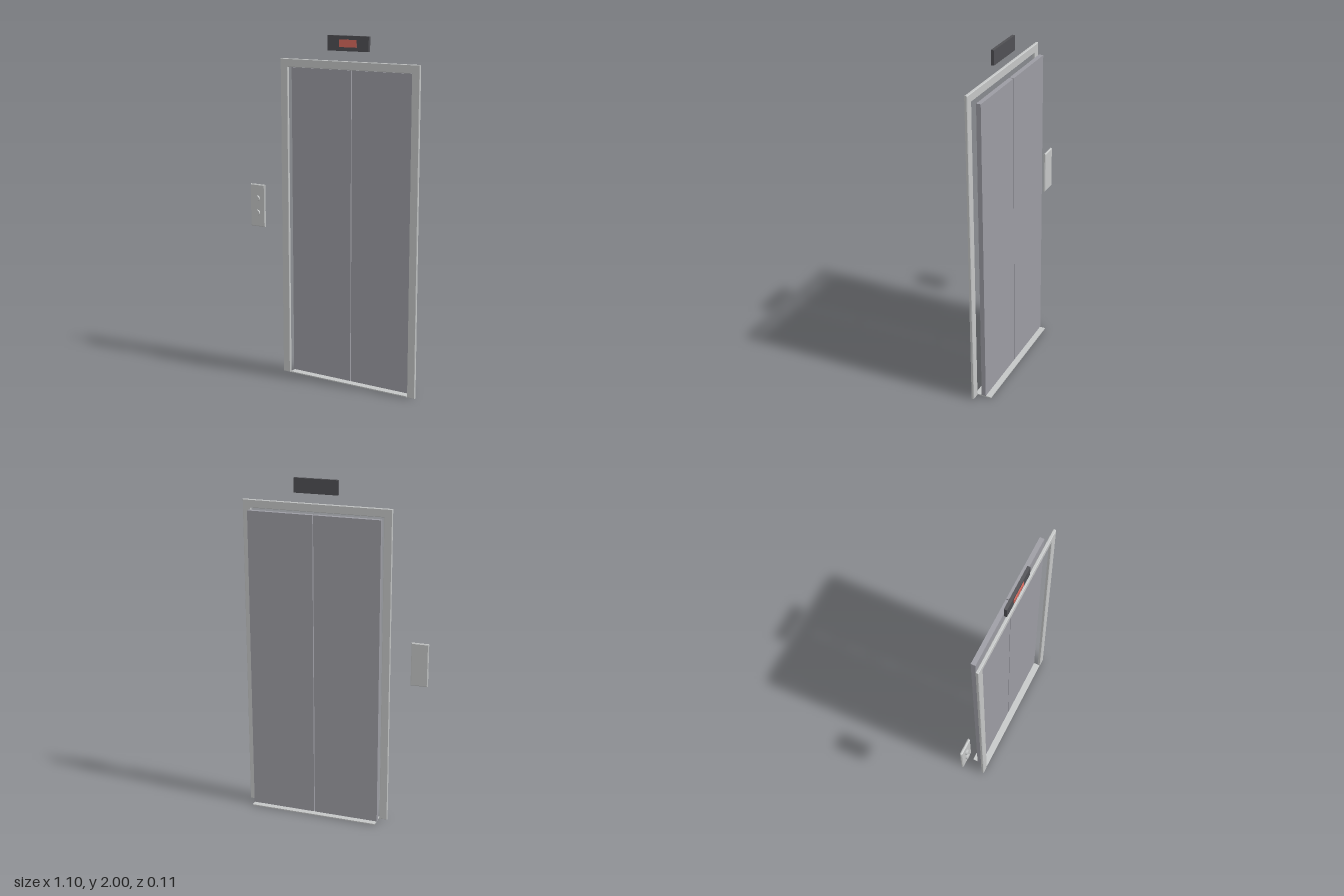
import * as THREE from 'three';

const mat = (name, color) => {
  const m = new THREE.MeshStandardMaterial({ color });
  m.name = name;
  return m;
};

export function createModel() {
  const steel = mat('brushedSteel', 0xc4c6c6);
  const doorGrey = mat('doorGrey', 0x9c9ca3);
  const dark = mat('darkHousing', 0x505054);
  const red = mat('redScreen', 0xd8695d);
  const group = new THREE.Group();

  const add = (name, geometry, material) => {
    const mesh = new THREE.Mesh(geometry, material);
    mesh.name = name;
    group.add(mesh);
    return mesh;
  };
  // Box given by its limits on each axis
  const box = (name, material, x0, x1, y0, y1, z0, z1) => {
    const mesh = add(name, new THREE.BoxGeometry(x1 - x0, y1 - y0, z1 - z0), material);
    mesh.position.set((x0 + x1) / 2, (y0 + y1) / 2, (z0 + z1) / 2);
  };
  // Outline extruded along z with a chamfered front edge; the back stays flat
  const plate = (name, material, points, z0, z1, bevel) => {
    const shape = new THREE.Shape(points.map(([x, y]) => new THREE.Vector2(x, y)));
    const g = new THREE.ExtrudeGeometry(shape, {
      depth: z1 - z0 - 2 * bevel, bevelEnabled: true, bevelSegments: 1,
      bevelSize: bevel, bevelThickness: bevel, bevelOffset: -bevel,
    });
    g.translate(0, 0, z0 + bevel);
    add(name, g, material);
  };
  const rect = (x0, x1, y0, y1) => [[x0, y0], [x1, y0], [x1, y1], [x0, y1]];

  // Door surround: two jambs and a header in one piece
  plate('doorFrame', steel, [
    [-0.328, 0], [-0.281, 0], [-0.281, 1.815], [0.499, 1.815],
    [0.499, 0], [0.546, 0], [0.546, 1.862], [-0.328, 1.862],
  ], 0.029, 0.046, 0.003);

  // Threshold below the doors
  box('sill', steel, -0.277, 0.497, 0, 0.006, -0.055, 0.044);

  // Two sliding door leaves with a narrow gap
  box('leftDoor', doorGrey, 0.112, 0.498, 0.007, 1.81, -0.022, 0.004);
  box('rightDoor', doorGrey, -0.28, 0.107, 0.007, 1.81, -0.022, 0.004);

  // Call panel with two round buttons
  plate('callPanel', steel, rect(-0.55, -0.45, 0.868, 1.121), 0.029, 0.044, 0.005);
  for (const [name, y] of [['upButton', 1.038], ['downButton', 0.952]]) {
    const g = new THREE.CylinderGeometry(0.017, 0.017, 0.013, 24);
    g.rotateX(Math.PI / 2);
    add(name, g, steel).position.set(-0.5, y, 0.0485);
  }

  // Floor indicator above the doors
  box('indicatorHousing', dark, -0.019, 0.239, 1.917, 2.0, 0.029, 0.046);
  box('indicatorScreen', red, 0.055, 0.164, 1.938, 1.979, 0.045, 0.049);

  return group;
}
